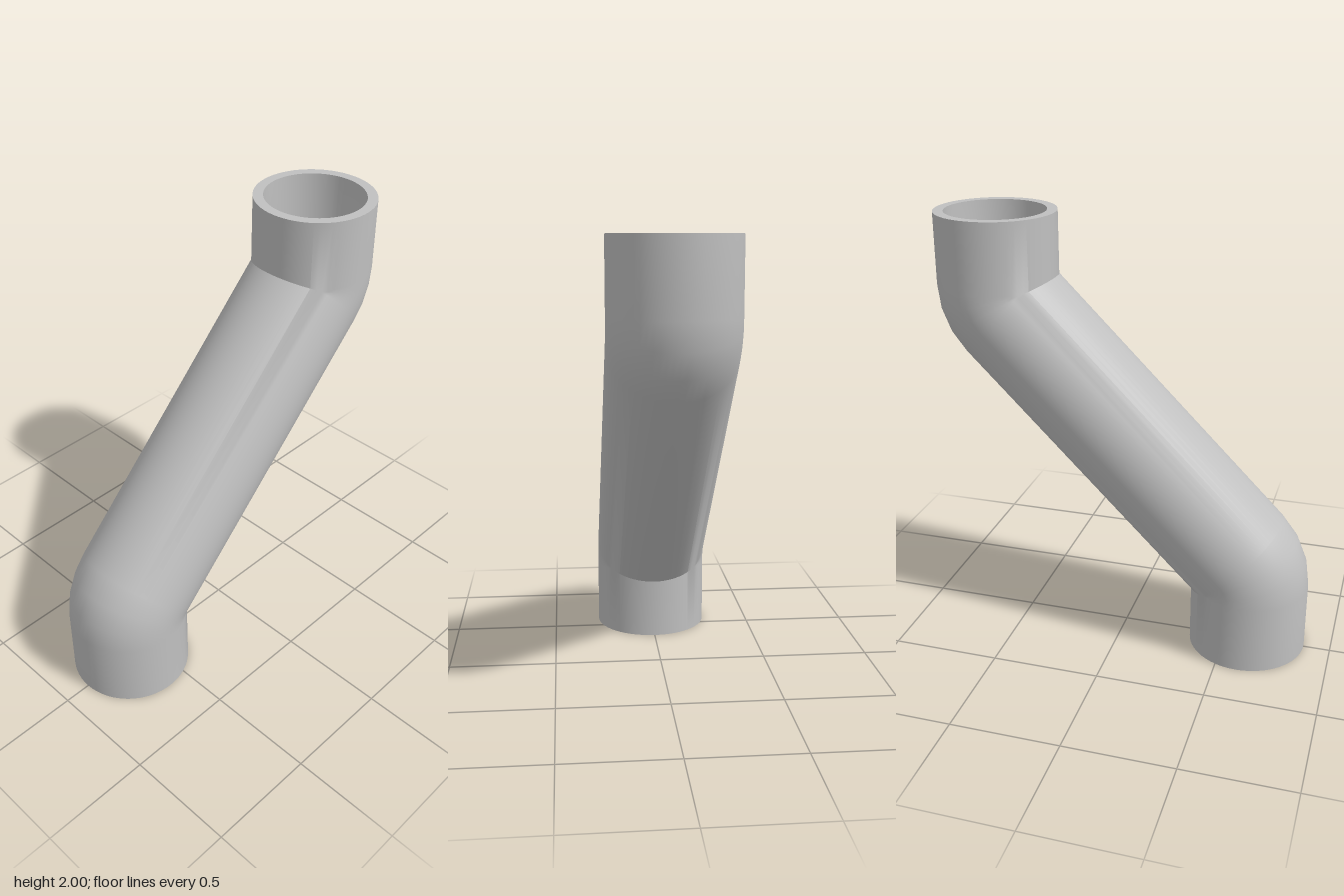
import * as THREE from 'three';
import { toCreasedNormals } from 'three/addons/utils/BufferGeometryUtils.js';

const OUTER = 0.274, INNER = 0.228;   // pipe radii
const OFFSET = 0.602;                 // z of the lower leg, upper leg is at -OFFSET
const BEND_Y = 1 - OFFSET;            // height where the lower centre lines meet
const BEND_R = 0.185;                 // bend radius along the centre line
const BEND_STEPS = 3, SIDES = 64;
const TAN = Math.tan(Math.PI / 8);

// Point of the lower leg; d is the offset toward the inside of the bend.
// station 0 is the open end, 1.. run round the 45 degree bend.
function lowerPoint(x, d, station) {
  if (station === 0) return new THREE.Vector3(x, 0, OFFSET - d);
  // inside the bend centre the two straight tubes meet in a mitre
  if (d >= BEND_R) return new THREE.Vector3(x, BEND_Y - d * TAN, OFFSET - d);
  const a = ((station - 1) / BEND_STEPS) * Math.PI / 4, rho = BEND_R - d;
  return new THREE.Vector3(
    x,
    BEND_Y - BEND_R * TAN + rho * Math.sin(a),
    OFFSET - BEND_R + rho * Math.cos(a)
  );
}

// Rings from bottom to top; the upper leg is the lower one turned half a turn about x
function tubeRings(radius) {
  const rings = [], half = BEND_STEPS + 2;
  for (let k = 0; k < half * 2; k++) {
    const ring = [];
    for (let j = 0; j < SIDES; j++) {
      const a = (j / SIDES) * Math.PI * 2;
      const x = radius * Math.cos(a), d = radius * Math.sin(a);
      if (k < half) ring.push(lowerPoint(x, d, k));
      else {
        const p = lowerPoint(x, -d, half * 2 - 1 - k);
        ring.push(new THREE.Vector3(x, 2 - p.y, -p.z));
      }
    }
    rings.push(ring);
  }
  return rings;
}

function pipeGeometry() {
  // up the outside, over the rim, down the bore and back to the start
  const rings = [...tubeRings(OUTER), ...tubeRings(INNER).reverse()];
  const positions = [];
  const triangle = new THREE.Triangle();
  const add = (a, b, c) => {
    triangle.set(a, b, c);
    if (triangle.getArea() < 1e-9) return;
    for (const p of [a, b, c]) positions.push(p.x, p.y, p.z);
  };
  rings.forEach((ring, i) => {
    const next = rings[(i + 1) % rings.length];
    for (let j = 0; j < SIDES; j++) {
      const n = (j + 1) % SIDES;
      add(ring[j], ring[n], next[n]);
      add(ring[j], next[n], next[j]);
    }
  });
  const geometry = new THREE.BufferGeometry();
  geometry.setAttribute('position', new THREE.Float32BufferAttribute(positions, 3));
  return toCreasedNormals(geometry, 0.6);
}

export function createModel() {
  const group = new THREE.Group();
  group.name = 'offsetPipe';
  const grey = new THREE.MeshStandardMaterial({ color: 0xc0c0c0 });
  grey.name = 'light grey';
  const pipe = new THREE.Mesh(pipeGeometry(), grey);
  pipe.name = 'pipe';
  group.add(pipe);
  return group;
}
